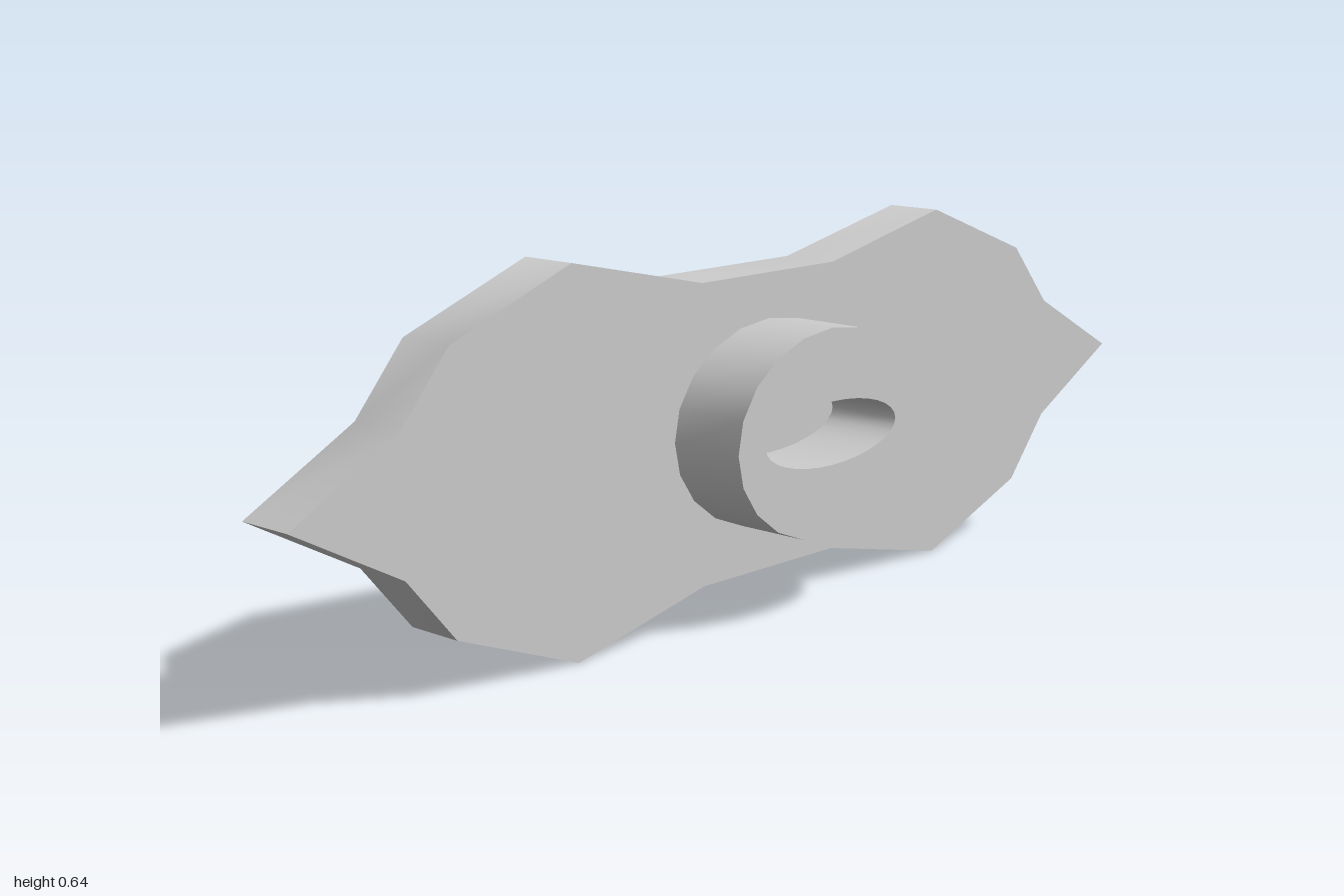
import * as THREE from 'three';
import { toCreasedNormals } from 'three/addons/utils/BufferGeometryUtils.js';

const CENTRE_Y = 0.32;

// Points of an ellipse around the origin
function ellipse(rx, ry, sides = 20) {
  return Array.from({ length: sides }, (_, i) => {
    const a = (i / sides) * Math.PI * 2;
    return new THREE.Vector2(rx * Math.cos(a), ry * Math.sin(a));
  });
}

// Extrudes a side-on shape along x, from x0 to x1
function slab(name, shape, x0, x1, crease) {
  const extruded = new THREE.ExtrudeGeometry(shape, { depth: x1 - x0, bevelEnabled: false });
  extruded.rotateY(Math.PI / 2);
  const material = new THREE.MeshStandardMaterial({ color: 0xcccccc });
  const mesh = new THREE.Mesh(toCreasedNormals(extruded, crease), material);
  mesh.name = name;
  mesh.position.set(x0, CENTRE_Y, 0);
  return mesh;
}

export function createModel() {
  const group = new THREE.Group();
  group.name = 'plateWithCollar';

  // Pointed plate: one quarter of the outline, mirrored both ways
  const quarter = [[1, 0], [0.795, 0.112], [0.7, 0.225], [0.452, 0.32], [0.163, 0.256]];
  const upper = [...quarter, ...quarter.map(([z, y]) => [-z, y]).reverse()];
  const lower = upper.slice(1, -1).map(([z, y]) => [z, -y]).reverse();
  const outline = [...upper, ...lower].map(([z, y]) => new THREE.Vector2(z, y));
  group.add(slab('plate', new THREE.Shape(outline), -0.123, -0.018, 0.6));

  // Oval collar with a narrow slot through to the plate
  const ring = new THREE.Shape(ellipse(0.23, 0.178));
  ring.holes.push(new THREE.Path(ellipse(0.165, 0.054, 32)));
  group.add(slab('collar', ring, -0.018, 0.123, 0.9));

  return group;
}
